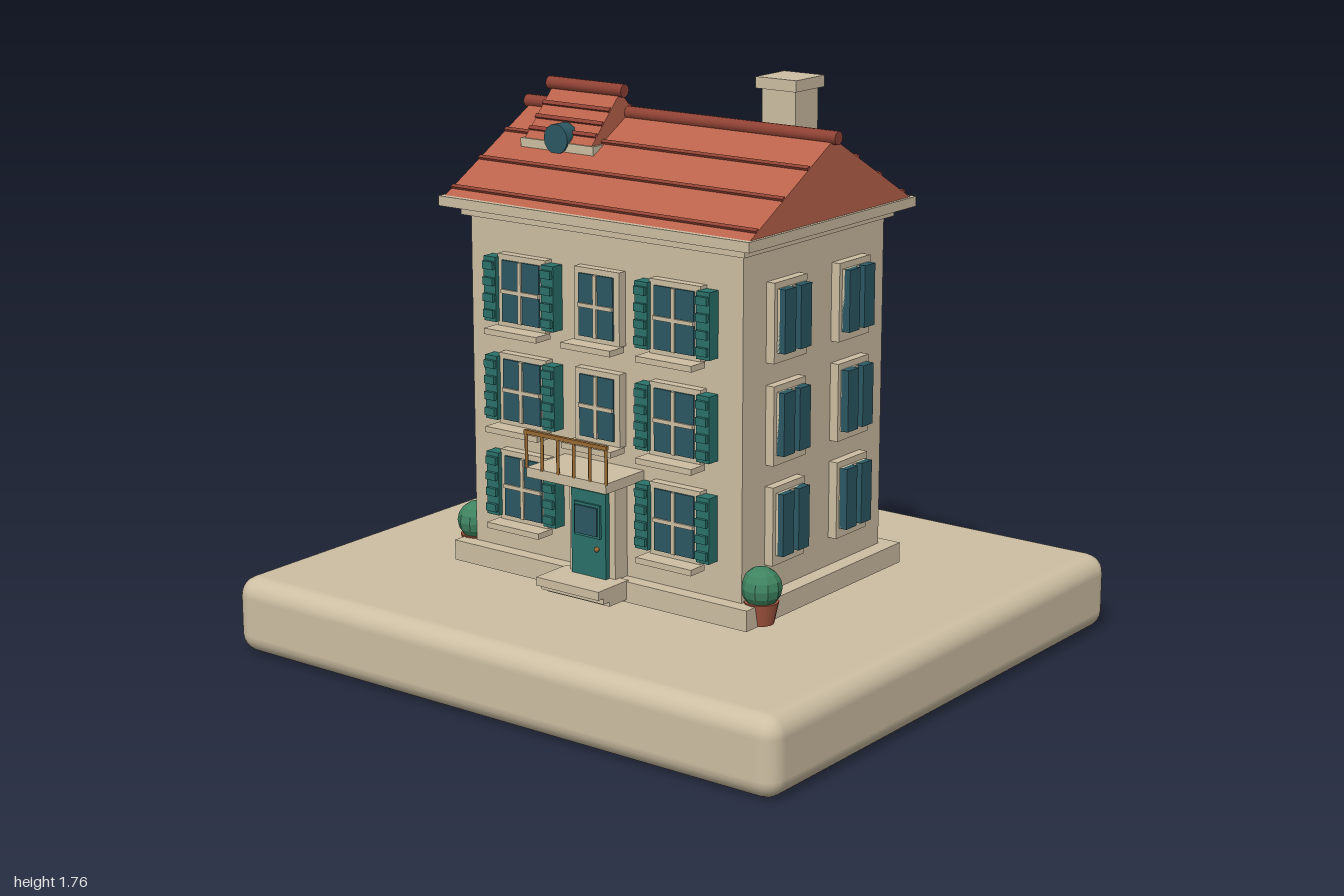
import * as THREE from 'three';
import { RoundedBoxGeometry } from 'three/addons/geometries/RoundedBoxGeometry.js';

const mat = (name, color, flatShading = false) => {
  const m = new THREE.MeshStandardMaterial({ color, flatShading });
  m.name = name;
  return m;
};

export function createModel() {
  const stone = mat('stone', 0xcdbfa3);
  const tile = mat('roofTile', 0xbb634b);
  const ridgeRed = mat('ridgeRed', 0x8f4234);
  const teal = mat('tealPaint', 0x2a716a);
  const glass = mat('glass', 0x2b5863);
  const brass = mat('brass', 0x9a6b34);
  const leaf = mat('leaf', 0x3f8461, true);
  const clay = mat('clay', 0xa3553f);

  const model = new THREE.Group();
  model.name = 'townHouse';

  const add = (parent, name, geo, m, x = 0, y = 0, z = 0) => {
    const mesh = new THREE.Mesh(geo, m);
    mesh.name = name;
    mesh.position.set(x, y, z);
    parent.add(mesh);
    return mesh;
  };
  // Box given by its limits on each axis
  const box = (parent, name, m, x0, x1, y0, y1, z0, z1) =>
    add(parent, name, new THREE.BoxGeometry(x1 - x0, y1 - y0, z1 - z0), m,
      (x0 + x1) / 2, (y0 + y1) / 2, (z0 + z1) / 2);
  const group = (name, x, y, z) => {
    const g = new THREE.Group();
    g.name = name;
    g.position.set(x, y, z);
    model.add(g);
    return g;
  };

  // Ground slab, plinth, walls and cornice
  add(model, 'groundSlab', new RoundedBoxGeometry(2, 0.238, 1.81, 3, 0.06), stone, 0, 0.119, 0);
  box(model, 'plinth', stone, -0.55, 0.55, 0.25, 0.313, -0.4, 0.4);
  box(model, 'walls', stone, -0.5, 0.5, 0.27, 1.34, -0.355, 0.355);
  box(model, 'lowerCornice', stone, -0.52, 0.52, 1.328, 1.356, -0.378, 0.378);
  box(model, 'upperCornice', stone, -0.568, 0.568, 1.356, 1.386, -0.424, 0.424);

  // Gable roof with ridge along x, course strips on both slopes and a round ridge
  function gable(name, x, z, y, halfLength, halfDepth, height, overhang, courses) {
    const g = group(name, x, y, z);
    const shape = new THREE.Shape([
      new THREE.Vector2(-halfDepth, 0), new THREE.Vector2(halfDepth, 0), new THREE.Vector2(0, height)]);
    const geo = new THREE.ExtrudeGeometry(shape, { depth: halfLength * 2, bevelEnabled: false });
    geo.translate(0, 0, -halfLength).rotateY(Math.PI / 2);
    add(g, name + 'Tiles', geo, tile);
    const slope = Math.atan2(height, halfDepth);
    for (const side of [-1, 1]) for (const d of courses) {
      const strip = add(g, name + 'Course', new THREE.BoxGeometry(halfLength * 2, 0.01, 0.013), ridgeRed,
        0, height * (1 - d / halfDepth) + 0.003, side * d);
      strip.rotation.x = side * slope;
    }
    const ridge = add(g, name + 'Ridge',
      new THREE.CylinderGeometry(0.02, 0.02, (halfLength + overhang) * 2, 14), ridgeRed, 0, height + 0.004, 0);
    ridge.rotation.z = Math.PI / 2;
  }
  gable('roof', 0, 0, 1.386, 0.558, 0.405, 0.228, 0.016, [0.125, 0.247, 0.372]);
  gable('dormerRoof', -0.31, 0.038, 1.54, 0.128, 0.138, 0.145, 0.016, [0.05, 0.085, 0.115]);
  box(model, 'dormerSill', stone, -0.45, -0.172, 1.513, 1.54, 0.12, 0.182);
  const porthole = add(model, 'dormerWindow', new THREE.CylinderGeometry(0.045, 0.045, 0.05, 16),
    glass, -0.31, 1.55, 0.163);
  porthole.rotation.x = Math.PI / 2;

  // Chimney
  box(model, 'chimney', stone, 0.25, 0.368, 1.42, 1.725, -0.195, -0.08);
  box(model, 'chimneyCap', stone, 0.237, 0.38, 1.722, 1.756, -0.21, -0.065);

  // Slatted shutter centred on x
  function shutter(g, x) {
    box(g, 'shutter', teal, x - 0.023, x + 0.023, -0.096, 0.1, 0.003, 0.045);
    for (let i = 0; i < 4; i++) {
      const y = -0.072 + i * 0.049;
      box(g, 'shutterSlat', teal, x - 0.019, x + 0.019, y - 0.012, y + 0.012, 0.04, 0.056);
    }
  }
  // Front window with cross bars and sill
  function frontWindow(x, y, half, shutters) {
    const g = group('frontWindow', x, y, 0.355);
    box(g, 'windowFrame', stone, -half - 0.02, half + 0.02, -0.11, 0.11, -0.01, 0.03);
    box(g, 'windowGlass', glass, -half, half, -0.093, 0.093, 0.025, 0.036);
    box(g, 'uprightBar', stone, -0.006, 0.006, -0.093, 0.093, 0.03, 0.042);
    box(g, 'crossBar', stone, -half, half, -0.006, 0.006, 0.03, 0.042);
    box(g, 'windowSill', stone, -half - 0.029, half + 0.029, -0.126, -0.108, 0.02, 0.086);
    if (shutters) for (const s of [-1, 1]) shutter(g, s * (half + 0.039));
  }
  // Side window with two tall panes
  function sideWindow(side, y, z) {
    const g = group('sideWindow', side * 0.5, y, z);
    g.rotation.y = side * Math.PI / 2;
    box(g, 'sideFrame', stone, -0.08, 0.08, -0.12, 0.115, -0.01, 0.028);
    box(g, 'sideBacking', stone, -0.066, 0.066, -0.09, 0.096, 0.02, 0.036);
    for (const s of [-1, 1]) {
      const a = s * 0.012, b = s * 0.066;
      box(g, 'sidePane', glass, Math.min(a, b), Math.max(a, b), -0.09, 0.096, 0.03, 0.055);
    }
  }
  for (const y of [0.52, 0.819, 1.12]) {
    for (const s of [-1, 1]) {
      frontWindow(s * 0.283, y, 0.071, true);
      for (const z of [-0.163, 0.163]) sideWindow(s, y, z);
    }
    if (y > 0.6) frontWindow(0, y, 0.063, false);
  }

  // Door with a small window and knob
  box(model, 'doorFrame', stone, -0.085, 0.085, 0.31, 0.602, 0.35, 0.412);
  box(model, 'door', teal, -0.064, 0.064, 0.316, 0.576, 0.4, 0.43);
  box(model, 'doorWindowFrame', teal, -0.048, 0.048, 0.438, 0.54, 0.425, 0.438);
  box(model, 'doorWindow', glass, -0.041, 0.041, 0.446, 0.532, 0.43, 0.444);
  add(model, 'doorKnob', new THREE.SphereGeometry(0.008, 10, 8), brass, 0.035, 0.405, 0.436);

  // Doorstep slabs
  box(model, 'topStep', stone, -0.117, 0.117, 0.29, 0.316, 0.39, 0.532);
  box(model, 'middleStep', stone, -0.117, 0.117, 0.272, 0.29, 0.39, 0.508);
  box(model, 'bottomStep', stone, -0.117, 0.117, 0.258, 0.272, 0.39, 0.48);

  // Balcony and railing
  box(model, 'balconySlab', stone, -0.148, 0.148, 0.617, 0.647, 0.355, 0.533);
  box(model, 'balconyRail', brass, -0.153, 0.153, 0.748, 0.76, 0.525, 0.537);
  for (let i = 0; i < 6; i++) {
    add(model, 'baluster', new THREE.CylinderGeometry(0.005, 0.005, 0.108, 8), brass,
      -0.148 + i * 0.0592, 0.698, 0.531);
  }

  // Potted bushes at the front corners
  for (const s of [-1, 1]) {
    const g = group('pottedBush', s * 0.537, 0.25, 0.31);
    add(g, 'pot', new THREE.CylinderGeometry(0.052, 0.038, 0.066, 14), clay, 0, 0.034, 0);
    add(g, 'bush', new THREE.SphereGeometry(0.061, 10, 8), leaf, 0, 0.108, 0);
  }
  return model;
}
